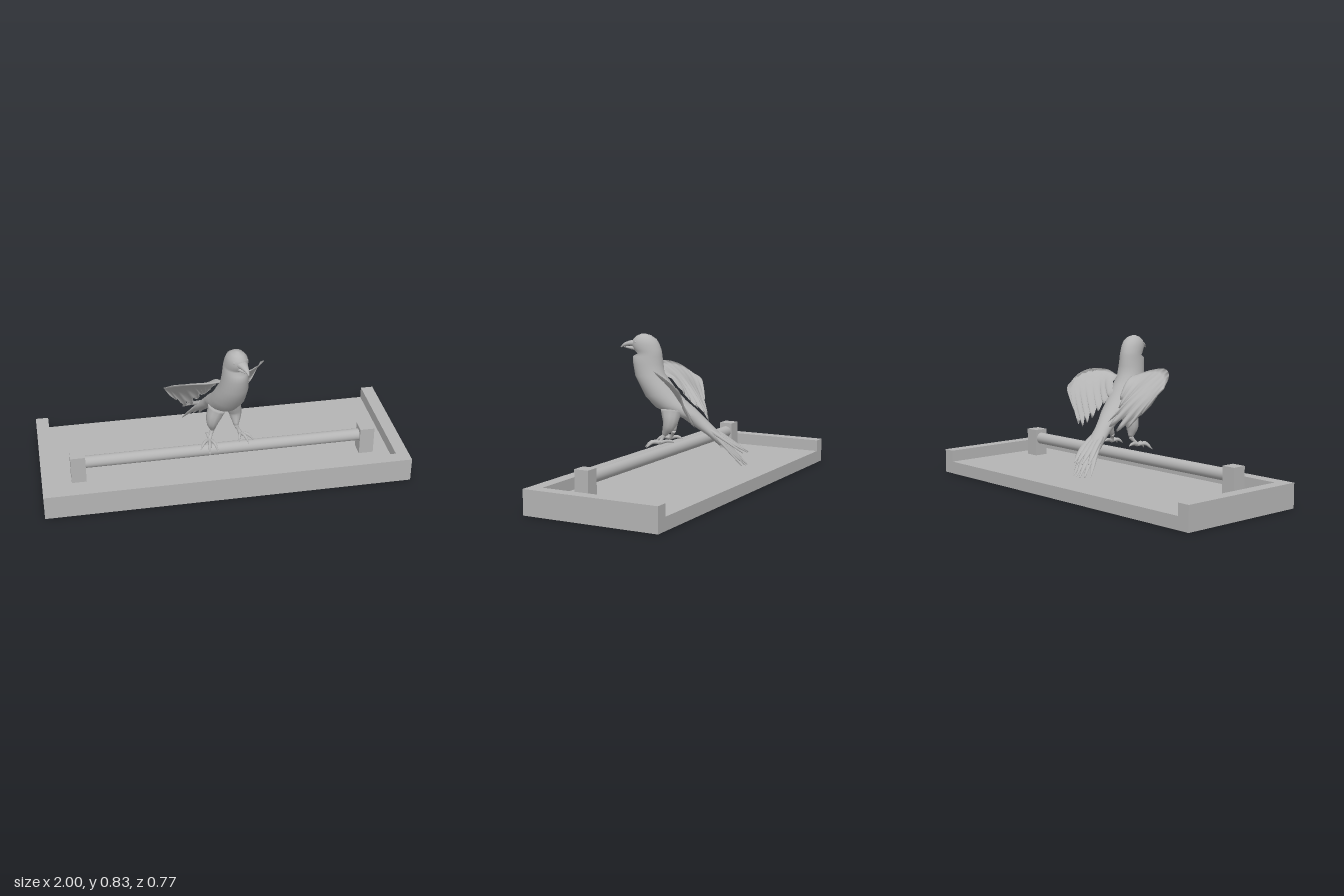
import * as THREE from 'three';

const grey = new THREE.MeshStandardMaterial({ color: 0xb4b4b4, side: THREE.DoubleSide });
grey.name = 'plain grey';

const V = (x, y, z) => new THREE.Vector3(x, y, z);
const axisX = z => -0.02 + 0.29 * z;          // the bird stands slightly turned
const onAxis = (z, y) => V(axisX(z), y, z);
const side = V(0.96, 0, -0.28).normalize();   // towards the bird's left

export function createModel() {
  const model = new THREE.Group();
  const bird = new THREE.Group();
  bird.name = 'bird';

  function add(parent, name, geo, x = 0, y = 0, z = 0) {
    const m = new THREE.Mesh(geo, grey);
    m.name = name;
    m.position.set(x, y, z);
    parent.add(m);
    return m;
  }

  // Closed skin through a list of equal-sized rings, with capped ends
  function loft(rings) {
    const n = rings[0].length, pos = [], idx = [];
    rings.forEach(r => r.forEach(p => pos.push(p.x, p.y, p.z)));
    for (let i = 0; i < rings.length - 1; i++) for (let j = 0; j < n; j++) {
      const a = i * n + j, b = i * n + (j + 1) % n;
      idx.push(a, a + n, b, b, a + n, b + n);
    }
    [0, rings.length - 1].forEach(e => {
      const c = rings[e].reduce((s, p) => s.add(p), V(0, 0, 0)).divideScalar(n);
      const k = pos.length / 3;
      pos.push(c.x, c.y, c.z);
      for (let j = 0; j < n; j++) {
        const a = e * n + j, b = e * n + (j + 1) % n;
        e ? idx.push(k, b, a) : idx.push(k, a, b);
      }
    });
    const g = new THREE.BufferGeometry();
    g.setAttribute('position', new THREE.Float32BufferAttribute(pos, 3));
    g.setIndex(idx);
    g.computeVertexNormals();
    return g;
  }

  const lerpList = (list, t) => {
    const f = t * (list.length - 1), i = Math.min(Math.floor(f), list.length - 2);
    return list[i] + (list[i + 1] - list[i]) * (f - i);
  };

  // Tapered limb with elliptical sections along a smooth path
  function limb(name, pts, widths, heights = widths, steps = 12, sides = 10) {
    const curve = new THREE.CatmullRomCurve3(pts);
    const rings = [];
    for (let i = 0; i <= steps; i++) {
      const t = i / steps, p = curve.getPoint(t), tan = curve.getTangent(t);
      const b = side.clone().addScaledVector(tan, -side.dot(tan)).normalize();
      const n = tan.clone().cross(b);
      const w = lerpList(widths, t), h = lerpList(heights, t);
      rings.push(Array.from({ length: sides }, (_, j) => {
        const a = j / sides * Math.PI * 2;
        return p.clone().addScaledVector(b, w * Math.cos(a)).addScaledVector(n, h * Math.sin(a));
      }));
    }
    return add(bird, name, loft(rings));
  }

  // Tray, open at the back, with a rim on three sides
  const base = new THREE.Group();
  base.name = 'tray';
  add(base, 'trayFloor', new THREE.BoxGeometry(2, 0.07, 0.77), 0, 0.035, 0);
  add(base, 'frontRim', new THREE.BoxGeometry(2, 0.065, 0.07), 0, 0.1025, 0.35);
  for (const s of [-1, 1]) {
    add(base, 'sideRim', new THREE.BoxGeometry(0.07, 0.065, 0.7), s * 0.965, 0.1025, -0.035);
    add(base, 'perchPost', new THREE.BoxGeometry(0.08, 0.155, 0.08), s * 0.8, 0.1475, 0.145);
  }
  const rod = new THREE.CylinderGeometry(0.033, 0.033, 1.52, 32).rotateZ(Math.PI / 2);
  add(base, 'perchRod', rod, 0, 0.172, 0.145);

  // Head and body sections: back z, back y, front z, front y, half width
  const sections = [
    [0.235, 0.833, 0.255, 0.833, 0.008], [0.205, 0.824, 0.282, 0.822, 0.032],
    [0.176, 0.803, 0.302, 0.803, 0.05], [0.16, 0.775, 0.31, 0.775, 0.057],
    [0.15, 0.745, 0.295, 0.742, 0.058], [0.147, 0.728, 0.278, 0.724, 0.058],
    [0.145, 0.712, 0.302, 0.71, 0.062], [0.14, 0.67, 0.302, 0.67, 0.066],
    [0.135, 0.62, 0.29, 0.6, 0.074], [0.10, 0.57, 0.265, 0.55, 0.082],
    [0.065, 0.52, 0.235, 0.49, 0.087], [0.02, 0.47, 0.18, 0.43, 0.084],
    [-0.025, 0.432, 0.10, 0.392, 0.072], [-0.06, 0.4, 0.035, 0.375, 0.055],
    [-0.10, 0.36, -0.03, 0.328, 0.046], [-0.15, 0.31, -0.1, 0.283, 0.046],
    [-0.2, 0.256, -0.165, 0.228, 0.048]];
  add(bird, 'body', loft(sections.map(([bz, by, fz, fy, w]) => {
    const back = onAxis(bz, by), front = onAxis(fz, fy);
    const c = back.clone().add(front).multiplyScalar(0.5);
    const d = front.sub(back).multiplyScalar(0.5);
    return Array.from({ length: 28 }, (_, j) => {
      const a = j / 28 * Math.PI * 2;
      return c.clone().addScaledVector(side, w * Math.cos(a)).addScaledVector(d, Math.sin(a));
    });
  })));

  // Beak and eyes
  limb('upperBeak', [onAxis(0.28, 0.78), onAxis(0.32, 0.779), onAxis(0.35, 0.77), onAxis(0.37, 0.756)],
    [0.034, 0.022, 0.012, 0.002], [0.022, 0.015, 0.01, 0.002]);
  limb('lowerBeak', [onAxis(0.28, 0.752), onAxis(0.32, 0.755), onAxis(0.352, 0.758)],
    [0.03, 0.016, 0.002], [0.014, 0.008, 0.002]);
  for (const s of [-1, 1]) {
    const p = onAxis(0.28, 0.79).addScaledVector(side, s * 0.038);
    add(bird, 'eye', new THREE.SphereGeometry(0.006, 12, 8), p.x, p.y, p.z);
  }

  // Tail fan: a lower row of long feathers and an upper row of shorter ones
  const tailRow = (count, spread, y, z) => {
    for (let i = 0; i < count; i++) {
      const k = i / (count - 1) * 2 - 1;
      const root = onAxis(-0.12, 0.312).addScaledVector(side, k * 0.028);
      const mid = onAxis(-0.2, (0.312 + y) / 2 + 0.01).addScaledVector(side, k * 0.038);
      const tip = onAxis(z + 0.02 * k * k, y).addScaledVector(side, k * spread);
      tip.x -= 0.015;
      limb('tailFeather', [root, mid, tip], [0.014, 0.017, 0.018, 0.016, 0.003], [0.012, 0.01, 0.006, 0.003], 10, 8);
    }
  };
  tailRow(5, 0.052, 0.125, -0.305);
  tailRow(4, 0.045, 0.195, -0.31);

  // Wing: thick leading edge A, trailing edge B cut into feather tips
  function wing(name, A, B, normal) {
    const ca = new THREE.CatmullRomCurve3(A.map(p => V(...p)));
    const cb = new THREE.CatmullRomCurve3(B.map(p => V(...p)));
    const feathers = 8, perFeather = 6, ribs = feathers * perFeather, m = 10, rings = [];
    for (let i = 0; i <= ribs; i++) {
      const u = i / ribs, a = ca.getPoint(u), b = cb.getPoint(u);
      const notch = Math.abs((i % perFeather) / perFeather * 2 - 1) ** 2;
      const reach = 1 - notch * (u < 0.95 ? 0.08 + 0.26 * u : 0.1);
      const ring = [];
      for (let j = 0; j < 2 * m; j++) {
        const upper = j < m, v = upper ? j / m : (2 * m - j) / m;
        const thick = 0.002 + 0.02 * Math.sqrt(v) * (1 - v) ** 1.5 * (1.2 - u * 0.8);
        const bulge = 0.025 * Math.sin(Math.PI * v) - 0.004 * notch * v;
        ring.push(a.clone().lerp(b, v * reach).addScaledVector(normal, bulge + (upper ? thick : -thick)));
      }
      rings.push(ring);
    }
    add(bird, name, loft(rings));
  }
  wing('leftWing',
    [[0.07, 0.615, 0.14], [0.15, 0.642, 0.13], [0.22, 0.643, 0.07], [0.245, 0.615, 0], [0.238, 0.57, -0.065]],
    [[0.03, 0.53, 0.06], [0.05, 0.45, 0], [0.07, 0.38, -0.07], [0.11, 0.345, -0.1], [0.195, 0.45, -0.08]],
    V(0.55, 0.5, -0.65).normalize());
  wing('rightWing',
    [[-0.01, 0.615, 0.18], [-0.1, 0.65, 0.24], [-0.19, 0.662, 0.25], [-0.275, 0.635, 0.2], [-0.315, 0.575, 0.125]],
    [[-0.04, 0.53, 0.06], [-0.08, 0.44, 0], [-0.09, 0.38, -0.08], [-0.16, 0.34, -0.05], [-0.28, 0.48, 0.05]],
    V(-0.55, 0.5, -0.65).normalize());

  // Legs: feathered thigh, thin shank, three front toes and one hind toe with claws
  function leg(label, hip, knee, ankle, foot, toes) {
    limb(label + 'Thigh', [hip, knee, ankle], [0.045, 0.04, 0.03, 0.012], [0.06, 0.046, 0.032, 0.014]);
    limb(label + 'Shank', [ankle, ankle.clone().lerp(foot, 0.5), foot], [0.013, 0.009, 0.012]);
    for (const [x, y, z] of toes) {
      const tip = foot.clone().add(V(x, y, z));
      const knuckle = foot.clone().add(V(x * 0.55, Math.max(y * 0.3, -0.005) + 0.01, z * 0.55));
      limb(label + 'Toe', [foot, knuckle, tip], [0.01, 0.009, 0.009, 0.007, 0.001], undefined, 10, 8);
    }
  }
  leg('left', V(0.055, 0.42, 0.07), V(0.075, 0.35, 0.07), V(0.075, 0.285, 0.105), V(0.095, 0.243, 0.12),
    [[0.065, -0.022, 0.05], [0.035, -0.025, 0.075], [-0.02, -0.015, 0.065], [-0.02, 0.008, -0.08]]);
  leg('right', V(-0.035, 0.42, 0.12), V(-0.06, 0.35, 0.13), V(-0.06, 0.285, 0.12), V(-0.08, 0.24, 0.15),
    [[0.035, -0.03, 0.085], [-0.015, -0.035, 0.1], [-0.06, -0.025, 0.06], [-0.01, 0, -0.07]]);

  model.add(base, bird);
  return model;
}
